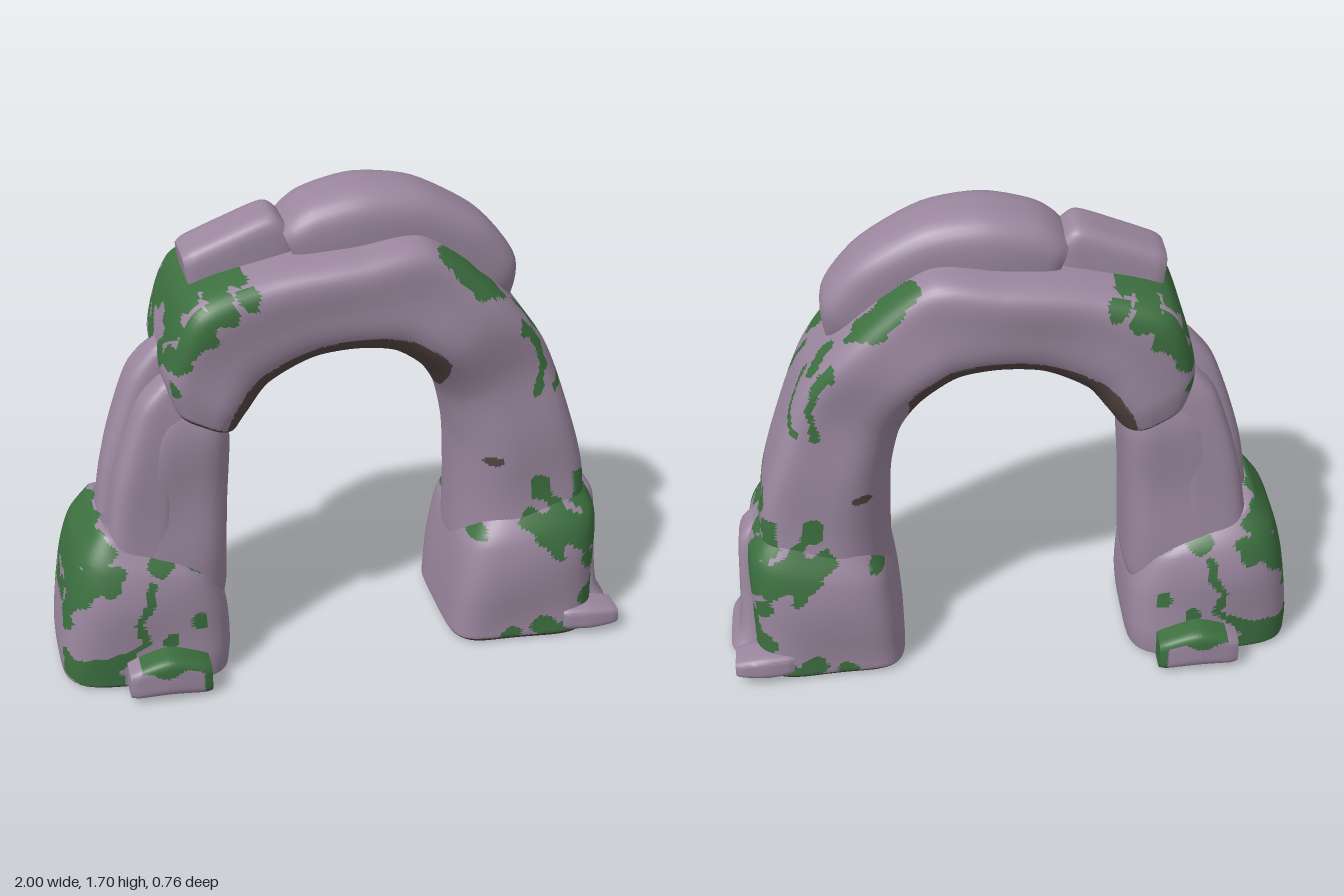
import * as THREE from 'three';
import { toCreasedNormals } from 'three/addons/utils/BufferGeometryUtils.js';

function material(name, color) {
  const m = new THREE.MeshStandardMaterial({ color, side: THREE.DoubleSide });
  m.name = name;
  return m;
}
const rock = material('lilac rock', 0x9b879f);
const moss = material('green moss', 0x3d7040);
const shade = material('brown underside', 0x544744);
const ROCK = 0, MOSS = 1, BROWN = 2;

// Thin vine: small dabs strung along a polyline
function vine(points, r) {
  const out = [];
  for (let i = 0; i + 1 < points.length; i++) {
    for (let k = 0; k <= 10; k++) {
      const f = k / 10;
      out.push([
        points[i][0] + (points[i + 1][0] - points[i][0]) * f,
        points[i][1] + (points[i + 1][1] - points[i][1]) * f, r]);
    }
  }
  return out;
}

// Moss dabs on the front and back faces: x, y, radius
const faceMoss = [
  [-.57, 1.24, .04], [-.54, 1.31, .06], [-.5, 1.37, .07], [-.43, 1.41, .06], [-.34, 1.44, .04], [-.6, 1.13, .03],
  [.33, 1.51, .045], [.4, 1.45, .06], [.45, 1.4, .045], [.6, 1.22, .03],
  [.68, .6, .045], [.65, .48, .05], [.74, .45, .09], [.82, .42, .06], [.85, .54, .045], [.87, .3, .04], [.87, .16, .04],
  [.58, .03, .035], [.7, .06, .05], [.78, .03, .045],
  [-.88, .52, .07], [-.92, .43, .055], [-.83, .45, .05], [-.93, .08, .06], [-.86, .07, .06], [-.82, .12, .04],
  [-.65, .48, .045], [-.53, .26, .03], [-.64, .19, .03],
  ...vine([[.62, 1.2], [.67, 1.08], [.65, .97]], .014),
  ...vine([[-.69, .42], [-.7, .35], [-.74, .28], [-.72, .2], [-.8, .14]], .015),
];
// Dabs on the outer side faces: |z|, y, radius
const leftMoss = [
  [.2, 1.46, .05], [.2, 1.39, .06], [.25, 1.4, .02], [.13, 1.23, .035], [.15, 1.2, .03],
  [0, .6, .06], [.08, .58, .07], [.12, .66, .04], [.17, .5, .06], [.2, .4, .09], [.27, .4, .05],
  [.2, .22, .05], [.24, .15, .05], [.2, .6, .045],
  ...vine([[.08, 1.16], [.13, 1.05], [.24, .97]], .013),
];
const rightMoss = [
  [0, .5, .12], [.11, .45, .11], [.18, .36, .07], [.05, .33, .05], [.15, .26, .045], [.2, .08, .06],
  [.14, 1.34, .1], [.05, 1.4, .08], [.2, 1.24, .05], [.1, 1.2, .045],
];
// Dabs on the upper faces: x, |z|, radius
const topMoss = [
  [-.48, .12, .08], [-.43, .19, .06], [-.38, .12, .05], [-.52, .18, .05], [-.36, .2, .03],
  [.35, .2, .06], [.43, .19, .055], [.46, .24, .03], [.61, .13, .03],
  [-.91, .08, .07], [-.9, .18, .05], [.85, .2, .06], [.85, .11, .05], [.79, .26, .045],
];

const covered = (dabs, a, b, ragged) =>
  dabs.some(([u, v, r]) => Math.hypot(a - u, b - v) < r * (1 + ragged));

// Colour of a point on the large rocks
function weathered(p, n) {
  const z = Math.abs(p.z);
  if (p.y < .06 && n.y < -.4) return BROWN;
  // underside of the span and a small crack on the leg
  const inward = -(n.x * p.x + n.y * (p.y - .85)) / Math.hypot(p.x, p.y - .85);
  if (p.y > .88 && p.x < .34 && (inward > .5 || n.y < -.55)) return BROWN;
  if (Math.abs(n.z) > .4 && Math.hypot(p.x - .51, (p.y - .72) * 2) < .035) return BROWN;

  const ragged = .16 * Math.sin(p.x * 61 + p.y * 37) + .16 * Math.sin(p.y * 71 - z * 53);
  if (Math.abs(n.z) > .4 && covered(faceMoss, p.x, p.y, ragged)) return MOSS;
  if (n.x > .35 && p.x > .3 && covered(leftMoss, z, p.y, ragged)) return MOSS;
  if (n.x < -.35 && p.x < -.3 && covered(rightMoss, z, p.y, ragged)) return MOSS;
  return n.y > .5 && covered(topMoss, p.x, z, ragged) ? MOSS : ROCK;
}

// Loft through stations [innerX, innerY, outerX, outerY, halfDepth];
// squareness of the inner and outer halves is set by nIn and nOut.
function boulder(name, stations, opt = {}) {
  const { rows = 26, cols = 48, nIn = 5, nOut = 5, z = 0, bevel = .08, open = '', colour = null } = opt;
  const curve = pick => new THREE.CatmullRomCurve3(
    stations.map(s => new THREE.Vector3(...pick(s))), false, 'catmullrom', .4);
  const inner = curve(s => [s[0], s[1], 0]), outer = curve(s => [s[2], s[3], s[4]]);

  // rings: position along the path and scale; an open end has no cap
  const cap = [0, .2, .4, .6, .78, .9], rim = [.93];
  const rings = (open === 'start' ? rim : cap).map(k => [0, k]);
  for (let i = 1; i < rows; i++) {
    const t = i / rows;
    const e = Math.max(0, 1 - Math.min(t, 1 - t) / bevel);
    rings.push([t, 1 - .1 * e * e]);
  }
  (open === 'end' ? rim : cap.slice().reverse()).forEach(k => rings.push([1, k]));

  const pos = [], index = [];
  for (const [t, k] of rings) {
    const a = inner.getPoint(t), b = outer.getPoint(t);
    for (let j = 0; j < cols; j++) {
      const ang = j / cols * Math.PI * 2;
      const c = Math.cos(ang), s = Math.sin(ang), n = c < 0 ? nIn : nOut;
      const r = k * Math.pow(Math.abs(c) ** n + Math.abs(s) ** n, -1 / n);
      const x = (a.x + b.x) / 2 + (b.x - a.x) / 2 * c * r;
      const y = (a.y + b.y) / 2 + (b.y - a.y) / 2 * c * r;
      // gentle weathering, the same on both faces
      const wear = 1 + .03 * (Math.sin(x * 9 + y * 5) + Math.sin(y * 13 - x * 4)) * Math.abs(s);
      pos.push(x, Math.max(.005, y), z + b.z * s * r * wear);
    }
  }
  for (let i = 0; i + 1 < rings.length; i++) {
    for (let j = 0; j < cols; j++) {
      const p = i * cols + j, q = i * cols + (j + 1) % cols, u = p + cols, v = q + cols;
      if (rings[i][1] > 0) index.push(p, q, v);
      if (rings[i + 1][1] > 0) index.push(p, v, u);
    }
  }
  let geo = new THREE.BufferGeometry();
  geo.setAttribute('position', new THREE.Float32BufferAttribute(pos, 3));
  geo.setIndex(index);
  geo = toCreasedNormals(geo, .55);
  if (colour) paint(geo, colour);
  const mesh = new THREE.Mesh(geo, colour ? [rock, moss, shade] : rock);
  mesh.name = name;
  return mesh;
}

// Sorts triangles into one geometry group per colour
function paint(geo, colour) {
  const P = geo.attributes.position, N = geo.attributes.normal;
  const sets = [[], [], []];
  const p = new THREE.Vector3(), n = new THREE.Vector3(), v = new THREE.Vector3();
  for (let i = 0; i < P.count; i += 3) {
    p.set(0, 0, 0);
    n.set(0, 0, 0);
    for (let k = 0; k < 3; k++) {
      p.add(v.fromBufferAttribute(P, i + k));
      n.add(v.fromBufferAttribute(N, i + k));
    }
    sets[colour(p.divideScalar(3), n.normalize())].push(i, i + 1, i + 2);
  }
  geo.setIndex(sets.flat());
  let start = 0;
  sets.forEach((s, m) => {
    geo.addGroup(start, s.length, m);
    start += s.length;
  });
}

export function createModel() {
  const model = new THREE.Group();
  model.name = 'rockArch';
  // Arch span flowing down into the left leg
  model.add(boulder('archSpan', [
    [-.36, .92, -.58, 1.02, .25], [-.31, .99, -.61, 1.18, .28], [-.24, 1.07, -.52, 1.42, .29],
    [-.1, 1.14, -.25, 1.5, .285], [.04, 1.155, .02, 1.535, .285], [.17, 1.13, .26, 1.55, .285],
    [.28, 1.05, .5, 1.37, .28], [.36, .92, .69, 1.14, .25], [.4, .75, .8, .85, .24],
    [.41, .55, .86, .62, .245], [.41, .3, .87, .3, .25],
  ], { rows: 250, cols: 128, nIn: 2.4, nOut: 5.5, bevel: .025, colour: weathered }));

  // Ridge stones on top
  model.add(boulder('ridgeStone', [
    [-.14, 1.45, -.2, 1.6, .13], [-.06, 1.45, -.1, 1.67, .14], [.06, 1.45, .08, 1.71, .15],
    [.18, 1.42, .28, 1.68, .15], [.32, 1.33, .49, 1.56, .145], [.43, 1.25, .61, 1.41, .12], [.5, 1.2, .61, 1.26, .07],
  ], { rows: 32, nOut: 3.2 }));
  model.add(boulder('smallRidgeStone', [
    [-.49, 1.34, -.52, 1.53, .1], [-.34, 1.38, -.37, 1.59, .105], [-.2, 1.4, -.23, 1.64, .1], [-.15, 1.43, -.17, 1.6, .09],
  ]));

  // Right leg: pillar and its outer slabs
  model.add(boulder('rightPillar', [
    [-.41, .25, -.76, .25, .22], [-.4, .6, -.75, .6, .225], [-.385, .88, -.68, .95, .22], [-.41, 1.01, -.6, 1.06, .2],
  ], { nIn: 4 }));
  for (const side of [-1, 0, 1]) {
    const lean = Math.abs(side) * .025;
    model.add(boulder('outerSlab', [
      [-.6, .4, -.865 + lean, .4, .09], [-.58, .75, -.81 + lean, .78 - lean, .085],
      [-.52, 1, -.71 + lean / 2, 1.08 - 2 * lean, .075], [-.5, 1.15 - 3 * lean, -.61, 1.21 - 3 * lean, .06],
    ], { nOut: 3.5, z: .135 * side }));
  }

  // Base boulders, hollow underneath
  model.add(boulder('rightBase', [
    [-.42, .01, -1, .01, .275], [-.41, .12, -1, .13, .285], [-.42, .27, -.97, .36, .275],
    [-.48, .41, -.93, .5, .25], [-.6, .49, -.85, .61, .2],
  ], { rows: 72, cols: 104, nOut: 4, open: 'start', bevel: .05, colour: weathered }));
  model.add(boulder('leftBase', [
    [.47, .47, .83, .61, .23], [.42, .38, .91, .47, .28], [.39, .2, .91, .22, .3], [.375, .01, .91, .01, .305],
  ], { rows: 72, cols: 104, nOut: 4.5, open: 'end', bevel: .05, colour: weathered }));

  // Outer buttress
  model.add(boulder('buttress', [
    [.78, .53, .9, .52, .06], [.78, .43, .945, .45, .085], [.78, .25, .955, .25, .115],
    [.78, .1, .965, .1, .145], [.78, .02, 1.01, .02, .165],
  ]));

  // Foot stones on both sides of each base
  for (const side of [1, -1]) {
    model.add(boulder('leftFootStone', [
      [.77, .04, .77, .12, .06], [.87, .035, .87, .12, .07], [.975, .04, .975, .1, .06],
    ], { rows: 16, cols: 40, z: .255 * side, bevel: .15 }));
    model.add(boulder('rightFootStone', [
      [-.79, .025, -.79, .13, .07], [-.65, .03, -.65, .175, .08], [-.51, .015, -.51, .13, .07],
    ], {
      rows: 40, z: .3 * side, bevel: .15,
      colour: p => (p.y + .012 * Math.sin(p.x * 45) > .12 && p.x > -.75) || p.x > -.54 ? MOSS : ROCK,
    }));
  }
  return model;
}
